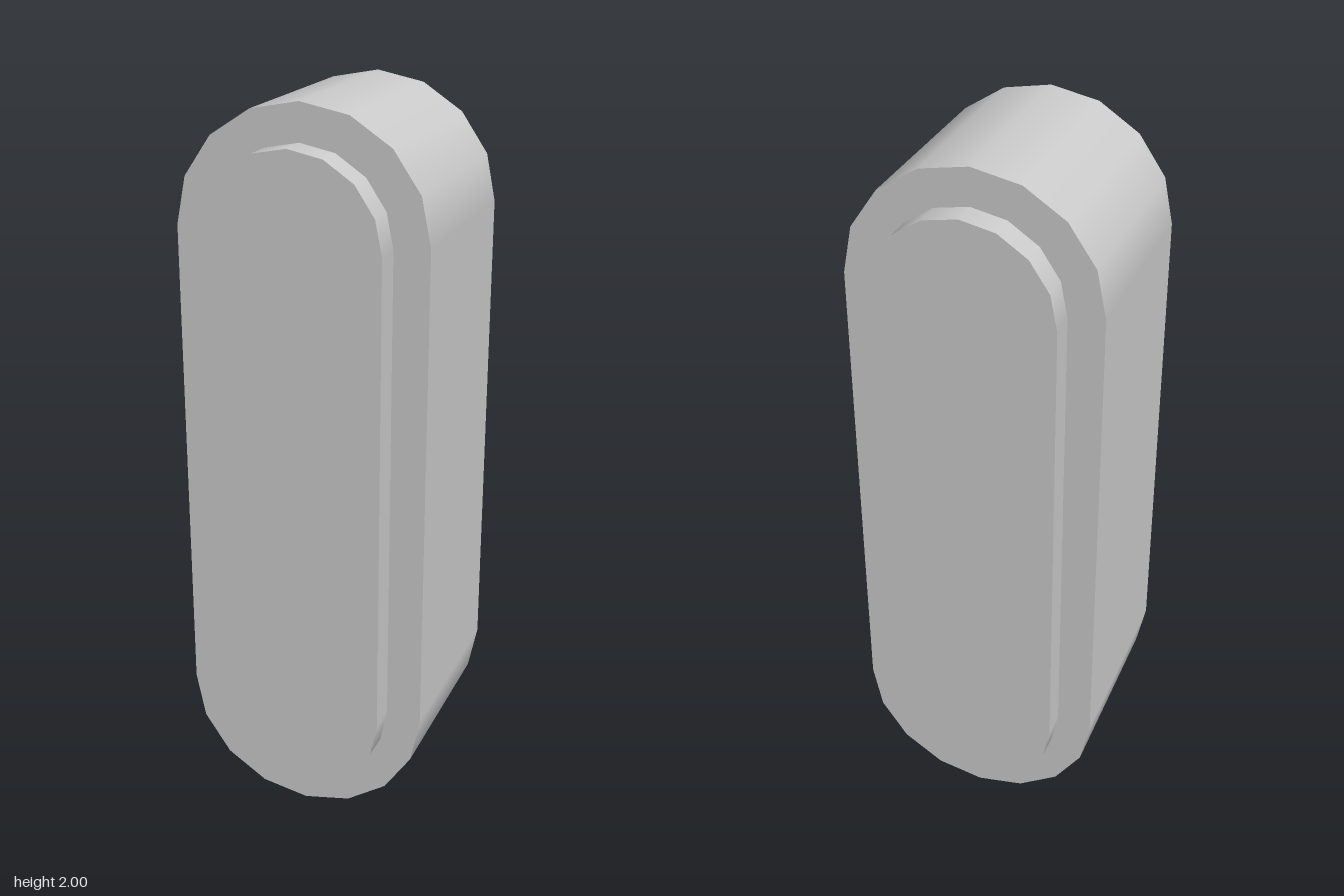
import * as THREE from 'three';

const grey = new THREE.MeshStandardMaterial({ color: 0xcccccc });
grey.name = 'light grey';

// Upright slab with eight-sided round ends, smooth around the rim and sharp at the faces
function capsuleSlab(name, radiusX, radiusY, halfHeight, zBack, zFront) {
  const straight = halfHeight - radiusY;
  const points = [];
  for (const end of [0, 1]) {
    for (let i = 0; i <= 8; i++) {
      const a = Math.PI * (end + i / 8);
      points.push(new THREE.Vector2(
        Math.cos(a) * radiusX,
        Math.sin(a) * radiusY + (end ? -straight : straight)
      ));
    }
  }
  const geometry = new THREE.ExtrudeGeometry(new THREE.Shape(points), {
    depth: zFront - zBack, bevelEnabled: false, steps: 1
  });
  // Round off the shading of the rim
  const pos = geometry.attributes.position;
  const normal = geometry.attributes.normal;
  const n = new THREE.Vector3();
  for (let i = 0; i < pos.count; i++) {
    if (Math.abs(normal.getZ(i)) > 0.5) continue;
    const y = pos.getY(i);
    const arcY = Math.sign(y) * Math.max(Math.abs(y) - straight, 0);
    n.set(pos.getX(i) / radiusX ** 2, arcY / radiusY ** 2, 0).normalize();
    normal.setXYZ(i, n.x, n.y, n.z);
  }
  geometry.translate(0, 1, zBack);
  const mesh = new THREE.Mesh(geometry, grey);
  mesh.name = name;
  return mesh;
}

export function createModel() {
  const model = new THREE.Group();
  model.name = 'roundEndedBlock';
  // Wide outer body and the narrower core standing proud on both faces
  model.add(capsuleSlab('outerBody', 0.342, 0.333, 1, -0.281, 0.272));
  model.add(capsuleSlab('frontPad', 0.246, 0.245, 0.9, 0.262, 0.353));
  model.add(capsuleSlab('backPad', 0.246, 0.245, 0.9, -0.353, -0.271));
  return model;
}
